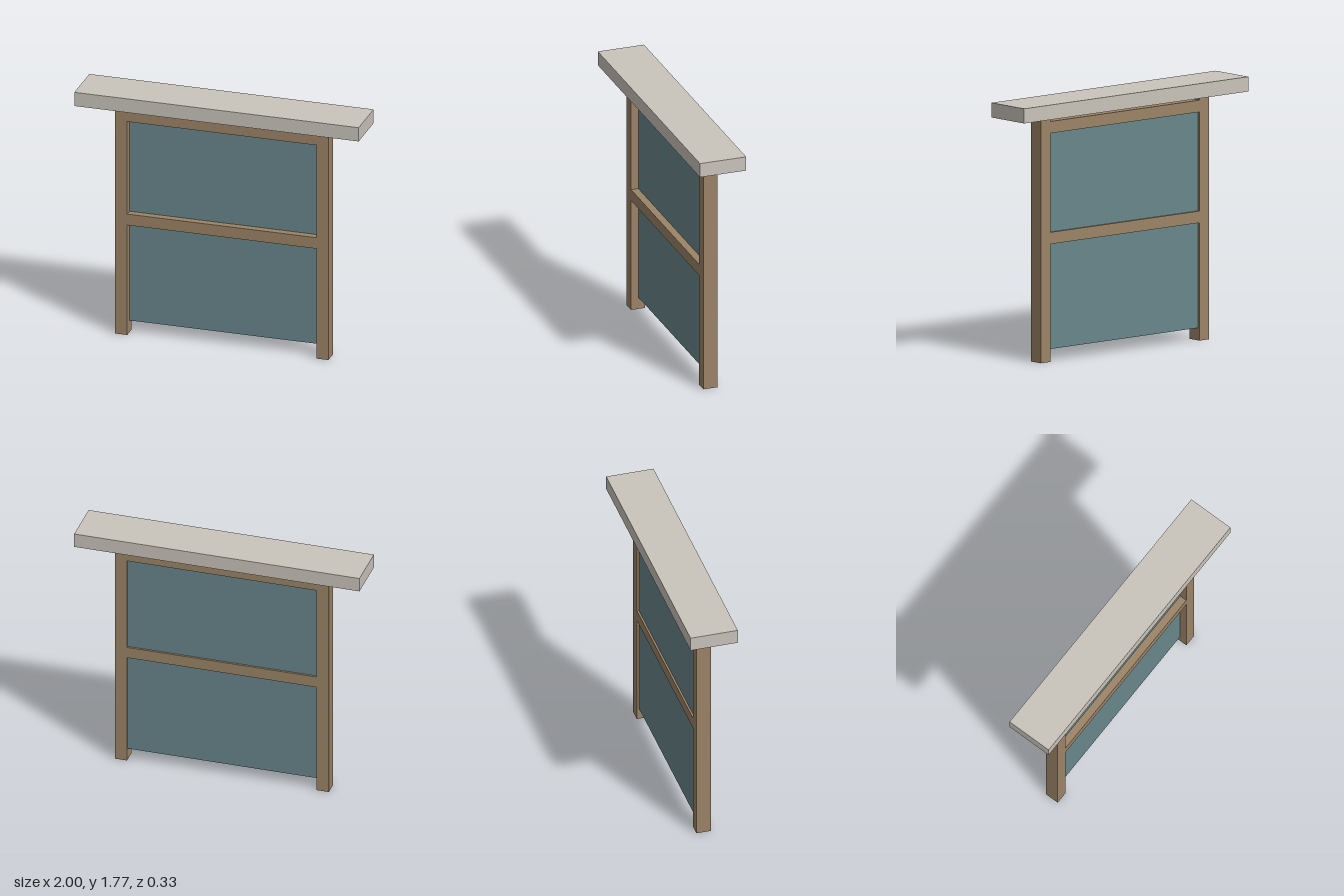
import * as THREE from 'three';

export function createModel() {
  const model = new THREE.Group();
  model.name = 'framedScreen';

  const wood = new THREE.MeshStandardMaterial({ color: 0x9c8467 });
  wood.name = 'brown wood';
  const stone = new THREE.MeshStandardMaterial({ color: 0xc9c4bb });
  stone.name = 'pale grey';
  const glass = new THREE.MeshStandardMaterial({ color: 0x68868b });
  glass.name = 'blue grey glass';

  // Box given by its extents along each axis
  function box(name, material, [x0, x1], [y0, y1], [z0, z1]) {
    const mesh = new THREE.Mesh(new THREE.BoxGeometry(x1 - x0, y1 - y0, z1 - z0), material);
    mesh.position.set((x0 + x1) / 2, (y0 + y1) / 2, (z0 + z1) / 2);
    mesh.name = name;
    model.add(mesh);
  }

  const inner = 0.665, outer = 0.75;
  const span = [-inner, inner];
  const frameDepth = [-0.05, 0.05];
  const paneDepth = [-0.036, -0.002]; // panes sit towards the back of the frame

  // Overhanging slab on top
  box('topSlab', stone, [-1, 1], [1.67, 1.77], [-0.165, 0.165]);

  // Posts
  box('leftPost', wood, [inner, outer], [0, 1.67], frameDepth);
  box('rightPost', wood, [-outer, -inner], [0, 1.67], frameDepth);

  // Cross rails
  box('topRail', wood, span, [1.553, 1.633], frameDepth);
  box('middleRail', wood, span, [0.8, 0.88], frameDepth);

  // Panes between the rails
  box('upperPane', glass, span, [0.88, 1.553], paneDepth);
  box('lowerPane', glass, span, [0.085, 0.8], paneDepth);

  return model;
}
